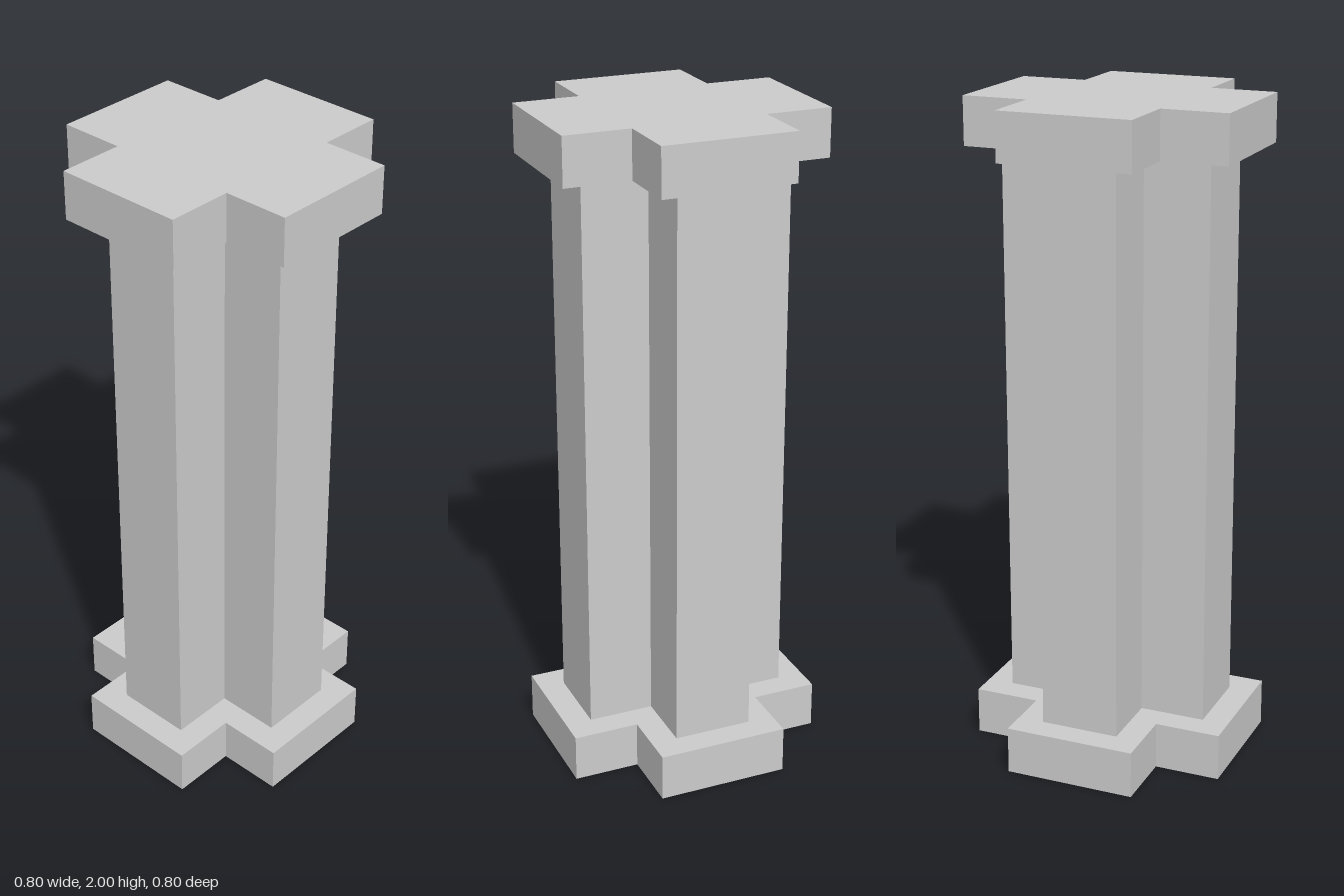
import * as THREE from 'three';

const SLAB = 0.144; // height of base and capital
const HEIGHT = 2;

// Plus-shaped outline: r = reach of each arm, w = half width of an arm
function crossShape(r, w) {
  const quarter = [[r, -w], [r, w], [w, w]];
  const points = [];
  for (let i = 0; i < 4; i++) {
    const c = Math.round(Math.cos(i * Math.PI / 2));
    const s = Math.round(Math.sin(i * Math.PI / 2));
    for (const [x, y] of quarter) points.push(new THREE.Vector2(c * x - s * y, s * x + c * y));
  }
  return new THREE.Shape(points);
}

// Upright cross-section prism from y0 to y1
function crossPrism(name, r, w, y0, y1, material) {
  const geometry = new THREE.ExtrudeGeometry(crossShape(r, w), { depth: y1 - y0, bevelEnabled: false });
  geometry.rotateX(-Math.PI / 2).translate(0, y0, 0);
  const mesh = new THREE.Mesh(geometry, material);
  mesh.name = name;
  return mesh;
}

export function createModel() {
  const group = new THREE.Group();
  group.name = 'crossPillar';
  const material = new THREE.MeshStandardMaterial({ color: 0xcccccc, flatShading: true });

  group.add(
    crossPrism('base', 0.4, 0.2, 0, SLAB, material),
    crossPrism('shaft', 0.32, 0.12, SLAB, HEIGHT - SLAB, material),
    crossPrism('capital', 0.4, 0.2, HEIGHT - SLAB, HEIGHT, material),
  );
  return group;
}
